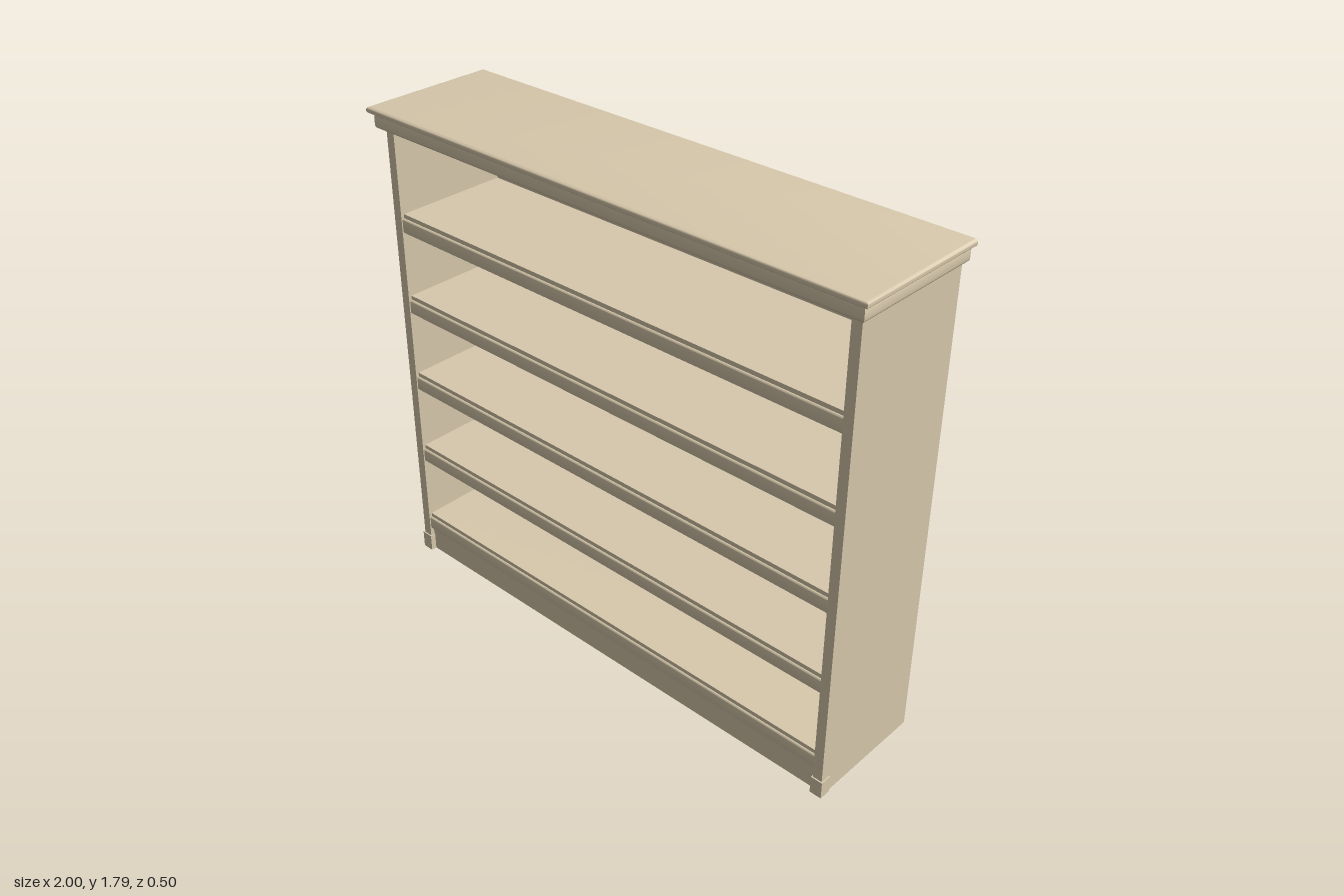
import * as THREE from 'three';
import { toCreasedNormals } from 'three/addons/utils/BufferGeometryUtils.js';

const BACK = -0.25;
const wood = new THREE.MeshStandardMaterial({ color: 0xd8c9ac });

function add(parent, name, geometry) {
  const mesh = new THREE.Mesh(geometry, wood);
  mesh.name = name;
  parent.add(mesh);
  return mesh;
}

// Box given by its limits on each axis
function box(parent, name, [x0, x1], [y0, y1], [z0, z1]) {
  const mesh = add(parent, name, new THREE.BoxGeometry(x1 - x0, y1 - y0, z1 - z0));
  mesh.position.set((x0 + x1) / 2, (y0 + y1) / 2, (z0 + z1) / 2);
  return mesh;
}

// Moulded slab: an [inset, y] profile running round front and sides, flat at the back
function mouldedSlab(halfWidth, front, profile) {
  const rings = profile.map(([inset, y]) => {
    const x = halfWidth - inset, z = front - inset;
    return [[-x, y, z], [x, y, z], [x, y, BACK], [-x, y, BACK]];
  });
  const pos = [];
  const quad = (a, b, c, d) => pos.push(...a, ...b, ...c, ...a, ...c, ...d);
  for (let i = 0; i < rings.length - 1; i++) {
    const lo = rings[i], hi = rings[i + 1];
    for (let k = 0; k < 4; k++) {
      const n = (k + 1) % 4;
      quad(lo[k], lo[n], hi[n], hi[k]);
    }
  }
  const [a, b, c, d] = rings[0];
  quad(d, c, b, a);
  quad(...rings[rings.length - 1]);
  const geometry = new THREE.BufferGeometry();
  geometry.setAttribute('position', new THREE.Float32BufferAttribute(pos, 3));
  return toCreasedNormals(geometry, 0.8);
}

// Rounded edge profile from y0 to y1 with corner radius r
function roundedProfile(y0, y1, r, steps = 5) {
  const points = [];
  for (let i = 0; i <= steps; i++) {
    const t = (i / steps) * Math.PI / 2;
    points.push([r * (1 - Math.sin(t)), y0 + r * (1 - Math.cos(t))]);
  }
  return points.concat(points.map(([inset, y]) => [inset, y0 + y1 - y]).reverse());
}

// Strip along x with rounded front edges
function lipGeometry(width, height, z0, z1, r) {
  const s = new THREE.Shape();
  s.moveTo(z0, 0);
  s.lineTo(z1 - r, 0);
  s.quadraticCurveTo(z1, 0, z1, r);
  s.lineTo(z1, height - r);
  s.quadraticCurveTo(z1, height, z1 - r, height);
  s.lineTo(z0, height);
  s.closePath();
  const g = new THREE.ExtrudeGeometry(s, { depth: width, bevelEnabled: false, curveSegments: 5 });
  g.translate(0, 0, -width / 2).rotateY(-Math.PI / 2);
  return toCreasedNormals(g, 0.6);
}

export function createModel() {
  const model = new THREE.Group();
  model.name = 'bookcase';
  const inner = 0.925, outer = 0.96;

  // Carcass
  for (const [name, s] of [['left', 1], ['right', -1]]) {
    const span = (a, b) => (s > 0 ? [a, b] : [-b, -a]);
    box(model, name + 'SidePanel', span(inner, outer), [0, 1.74], [BACK, 0.208]);
    box(model, name + 'FootBlock', span(0.921, 0.965), [0, 0.065], [0.17, 0.213]);
  }
  box(model, 'backPanel', [-inner, inner], [0, 1.765], [-0.245, -0.23]);
  box(model, 'bottomPanel', [-inner, inner], [0, 0.02], [-0.23, 0.18]);
  box(model, 'plinth', [-inner, inner], [0, 0.11], [0.165, 0.192]);

  // Shelves, each a board with a rounded lip along the front
  const lip = lipGeometry(inner * 2, 0.055, 0.17, 0.204, 0.01);
  for (const top of [0.165, 0.477, 0.788, 1.1, 1.41]) {
    const shelf = new THREE.Group();
    shelf.name = 'shelf';
    box(shelf, 'shelfBoard', [-inner, inner], [top - 0.03, top], [-0.23, 0.196]);
    add(shelf, 'shelfLip', lip).position.y = top - 0.07;
    model.add(shelf);
  }

  // Cornice and top
  add(model, 'cornice', mouldedSlab(0.982, 0.236, roundedProfile(1.71, 1.765, 0.014)));
  add(model, 'topBoard', mouldedSlab(1, 0.253, roundedProfile(1.763, 1.786, 0.011)));
  return model;
}
